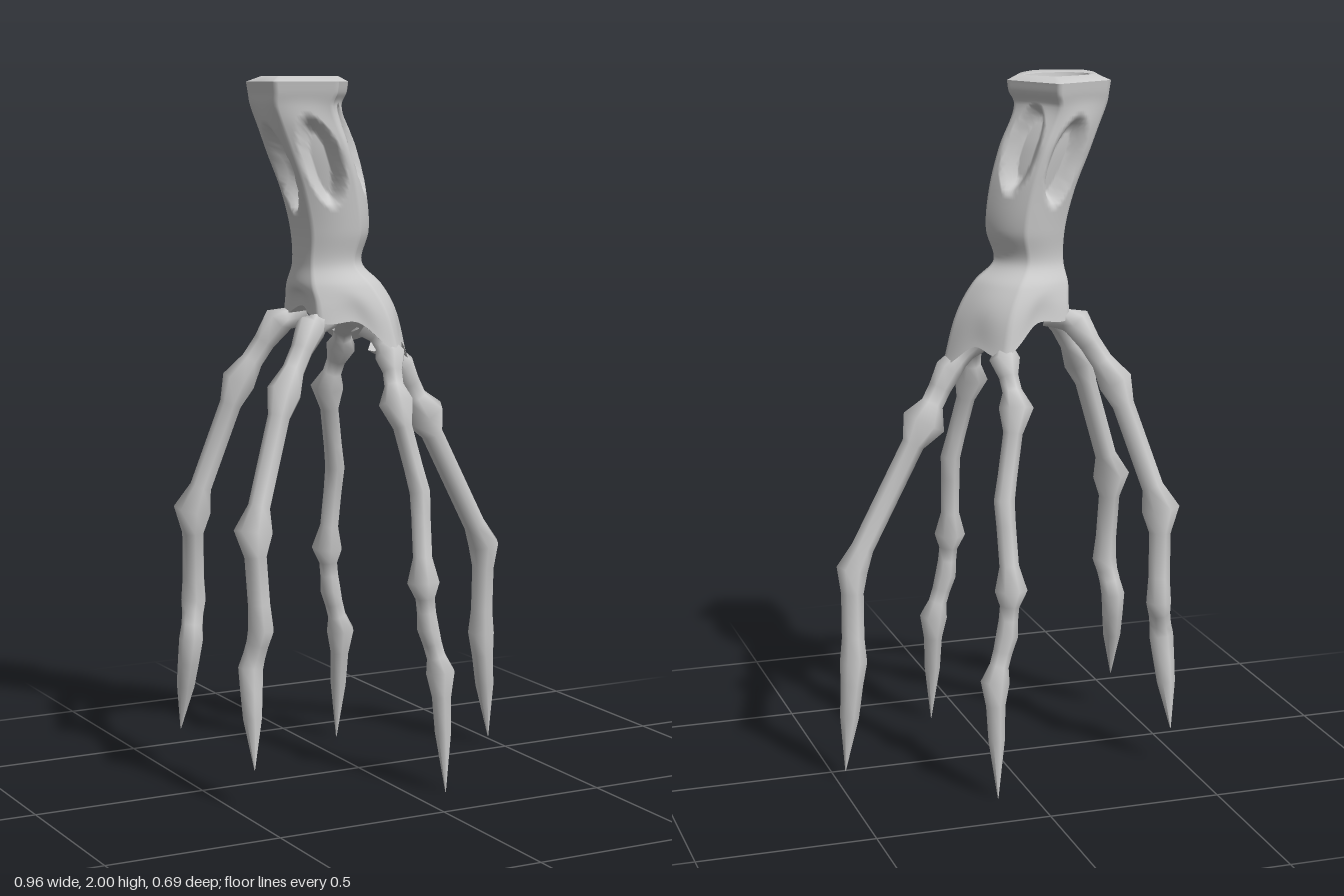
import * as THREE from 'three';

const material = new THREE.MeshStandardMaterial({ color: 0xcccccc, side: THREE.DoubleSide });
const V = (x, y, z) => new THREE.Vector3(x, y, z);
const TAU = Math.PI * 2, FIFTH = TAU / 5;

// Skins a list of closed rings with smooth normals
function loft(name, rings) {
  const n = rings[0].length, index = [];
  for (let i = 0; i < rings.length - 1; i++) {
    for (let j = 0; j < n; j++) {
      const a = i * n + j, b = i * n + (j + 1) % n;
      index.push(a, b, a + n, b, b + n, a + n);
    }
  }
  const g = new THREE.BufferGeometry().setFromPoints(rings.flat());
  g.setIndex(index);
  g.computeVertexNormals();
  const mesh = new THREE.Mesh(g, material);
  mesh.name = name;
  return mesh;
}

const ring = (n, fn) => Array.from({ length: n }, (_, j) => fn(j / n * TAU));

// Radius of a pentagon (one corner at +x) blended with a circle
function pentagon(t, R, k) {
  const a = t % FIFTH - FIFTH / 2;
  return R * (k * Math.cos(FIFTH / 2) / Math.cos(a) + (1 - k) * 0.94);
}

// Leaning neck profile: height, centre x, radius
const profile = new THREE.CatmullRomCurve3([
  [1.985, -0.185, 0.152], [1.955, -0.185, 0.147], [1.92, -0.19, 0.137],
  [1.8, -0.145, 0.139], [1.68, -0.106, 0.13], [1.57, -0.088, 0.12],
  [1.48, -0.097, 0.107], [1.42, -0.073, 0.146], [1.36, -0.045, 0.176], [1.29, -0.03, 0.195],
].map(p => V(...p)), false, 'centripetal');

// Body point: five hollows in the neck, star-shaped tilted palm at the bottom
function bodyPoint(p, t) {
  const a = t % FIFTH - FIFTH / 2;
  const star = THREE.MathUtils.smoothstep(1.44 - p.x, 0, 0.15);
  const k = 0.5 + 0.5 * THREE.MathUtils.smoothstep(p.x, 1.85, 1.95);
  let r = pentagon(t, p.z, k) * (1 - star * 0.12 * (1 - Math.cos(5 * t)) / 2);
  const q = Math.hypot(a / 0.46, (p.x - 1.775 - 0.03 * Math.cos(t)) / 0.122);
  if (q < 1) r -= 0.046 * Math.min(1, (1 - q) * 4);
  const x = p.y + r * Math.cos(t);
  const y = p.x - star * (0.4 * (x + 0.05) + 0.02 * Math.cos(5 * t));
  return V(x, y, r * Math.sin(t));
}

// Jointed finger: knuckles [x, y, z, radius] joined by thin shafts
function finger(name, joints, shaft) {
  const stations = [];
  joints.forEach(([x, y, z, r], i) => {
    const p = V(x, y, z);
    stations.push([p, r]);
    const next = joints[i + 1];
    if (!next) return;
    const q = V(next[0], next[1], next[2]), f = Math.min(0.35, 0.07 / p.distanceTo(q));
    const last = i === joints.length - 2;
    stations.push([p.clone().lerp(q, f), shaft]);
    stations.push([p.clone().lerp(q, last ? 0.5 : 1 - f), last ? shaft * 0.85 : shaft]);
  });
  const rings = stations.map(([p, r], i) => {
    const before = stations[Math.max(i - 1, 0)][0];
    const after = stations[Math.min(i + 1, stations.length - 1)][0];
    const d = after.clone().sub(before).normalize();
    const u = V(1, 0, 0).addScaledVector(d, -d.x).normalize();
    const w = d.clone().cross(u);
    return ring(7, t => p.clone().addScaledVector(u, r * Math.cos(t)).addScaledVector(w, r * Math.sin(t)));
  });
  return loft(name, rings);
}

export function createModel() {
  const group = new THREE.Group();
  const SEG = 100;

  // Neck and palm
  const rows = profile.getPoints(80).map(p => ring(SEG, t => bodyPoint(p, t)));
  group.add(loft('neckAndPalm', rows));

  // Underside of the palm
  const edge = rows[rows.length - 1], hub = V(-0.05, 1.31, 0);
  group.add(loft('palmUnderside', [0, 0.5, 1].map(f =>
    edge.map(p => p.clone().lerp(hub, f).add(V(0, 0.02 * Math.sin(f * Math.PI), 0))))));

  // Rim with an oval bowl
  const bowl = [0, 0.25, 0.5, 0.7, 0.85, 0.95, 1].map(f => ring(SEG, t =>
    V(-0.18 + 0.094 * f * Math.cos(t), 1.995 - 0.065 * Math.sqrt(1 - f * f), 0.06 * f * Math.sin(t))));
  group.add(loft('topBowl', bowl));
  const lip = bowl[bowl.length - 1];
  group.add(loft('topRim', [lip, lip.map((p, j) => p.clone().lerp(rows[0][j], 0.4).setY(2)), rows[0]]));

  // Single long finger
  group.add(finger('longFinger', [
    [0.07, 1.25, 0, 0.045], [0.14, 1.175, 0, 0.04], [0.218, 1.03, -0.012, 0.065],
    [0.438, 0.62, -0.03, 0.046], [0.442, 0.35, -0.048, 0.04], [0.472, 0.022, -0.055, 0.001],
  ], 0.033));

  // Mirrored pairs of fingers
  for (const [side, s] of [['front', 1], ['back', -1]]) {
    const m = joints => joints.map(([x, y, z, r]) => [x, y, z * s, r]);
    group.add(finger(side + 'MiddleFinger', m([
      [0.0, 1.3, 0.09, 0.05], [0.022, 1.225, 0.15, 0.044], [0.008, 1.1, 0.21, 0.05],
      [0.058, 0.85, 0.258, 0.03], [0.05, 0.6, 0.295, 0.047], [0.063, 0.47, 0.298, 0.032],
      [0.1, 0.34, 0.305, 0.042], [0.1, 0.0, 0.335, 0.001],
    ]), 0.028));
    group.add(finger(side + 'OuterFinger', m([
      [-0.13, 1.33, 0.065, 0.035], [-0.205, 1.31, 0.105, 0.044], [-0.308, 1.14, 0.147, 0.05],
      [-0.43, 0.77, 0.203, 0.056], [-0.42, 0.5, 0.225, 0.037],
      [-0.44, 0.39, 0.2, 0.036], [-0.455, 0.115, 0.25, 0.001],
    ]), 0.032));
  }
  return group;
}
